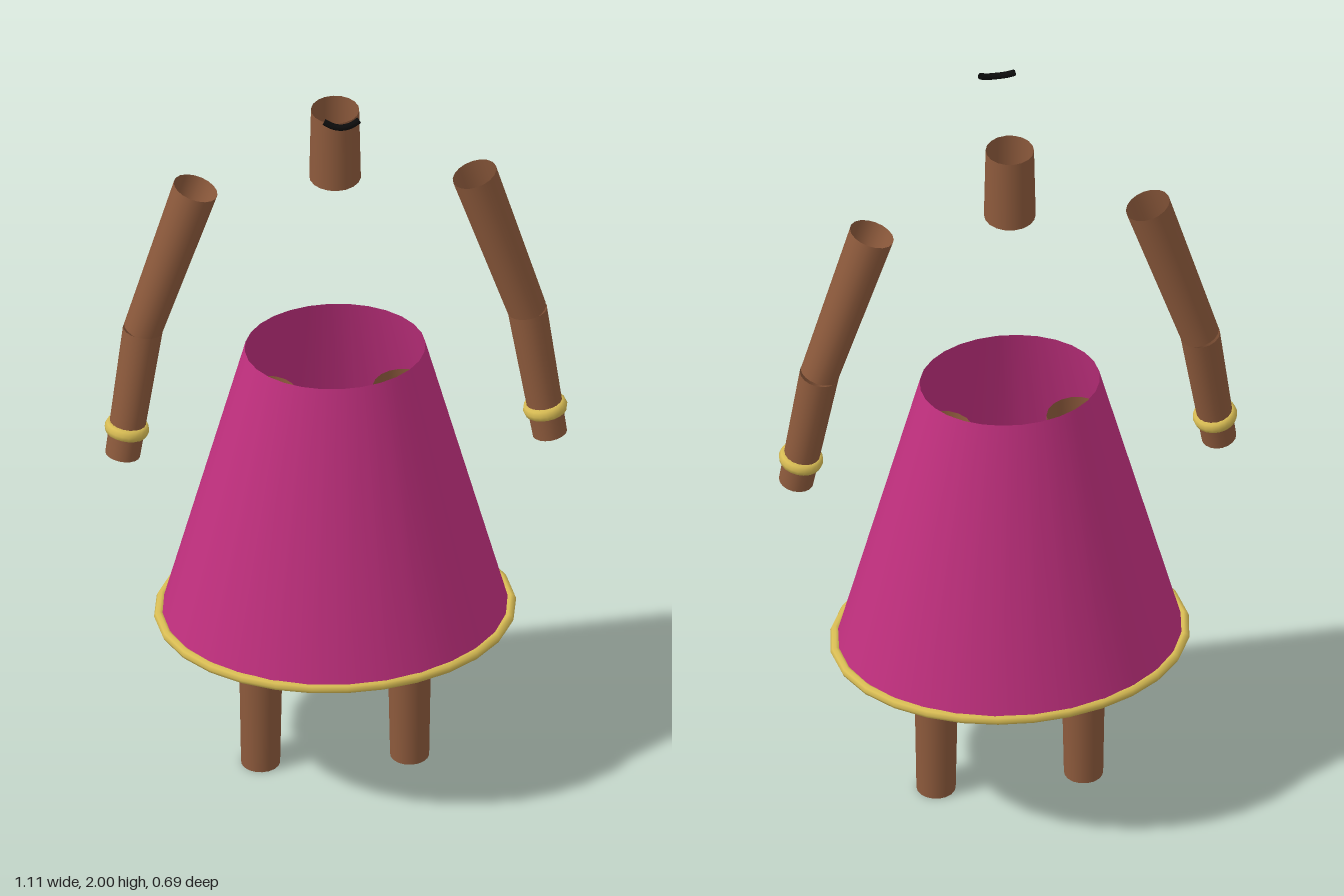
import * as THREE from 'three';

const mat = (name, color) => {
  const m = new THREE.MeshStandardMaterial({ color, side: THREE.DoubleSide });
  m.name = name;
  return m;
};

export function createModel() {
  const skin = mat('brown skin', 0x8d5a3c);
  const cloth = mat('magenta cloth', 0xc2307f);
  const gold = mat('gold trim', 0xd8bc54);
  const black = mat('black', 0x0c0c0c);
  const model = new THREE.Group();

  const add = (name, geometry, material) => {
    const mesh = new THREE.Mesh(geometry, material);
    mesh.name = name;
    model.add(mesh);
    return mesh;
  };

  const up = new THREE.Vector3(0, 1, 0);
  // Open tapered tube running from a (top) to b (bottom)
  const limb = (name, a, b, rTop, rBottom) => {
    const top = new THREE.Vector3(...a), bottom = new THREE.Vector3(...b);
    const axis = top.clone().sub(bottom);
    const mesh = add(name, new THREE.CylinderGeometry(rTop, rBottom, axis.length(), 18, 1, true), skin);
    mesh.position.copy(top).add(bottom).multiplyScalar(0.5);
    mesh.quaternion.setFromUnitVectors(up, axis.normalize());
    return mesh;
  };

  // Neck
  limb('neck', [0, 1.9, 0], [0, 1.705, 0], 0.058, 0.062);

  // Skirt: open oval cone with a gold hem
  const skirt = new THREE.CylinderGeometry(0.217, 0.417, 0.765, 28, 1, true);
  skirt.scale(1, 0.815, 1).scale(1, 1 / 0.815, 0.815);
  add('skirt', skirt, cloth).position.y = 0.8225;
  const hemPoints = [];
  for (let i = 0; i < 28; i++) {
    const t = (i / 28) * Math.PI * 2;
    hemPoints.push(new THREE.Vector3(0.422 * Math.cos(t), 0.44, 0.334 * Math.sin(t)));
  }
  const hemCurve = new THREE.CatmullRomCurve3(hemPoints, true);
  add('skirtHem', new THREE.TubeGeometry(hemCurve, 28, 0.013, 8, true), gold);

  // Arms, bracelets and legs, mirrored
  for (const [side, s] of [['left', 1], ['right', -1]]) {
    const elbow = [s * 0.462, 1.285, 0], wrist = [s * 0.513, 0.945, 0.032];
    limb(side + 'UpperArm', [s * 0.335, 1.69, 0], elbow, 0.055, 0.047);
    const forearm = limb(side + 'Forearm', elbow, wrist, 0.048, 0.042);

    const bracelet = add(side + 'Bracelet',
      new THREE.TorusGeometry(0.042, 0.012, 8, 20).rotateX(Math.PI / 2).scale(1, 1.4, 1), gold);
    bracelet.position.set(...elbow).lerp(new THREE.Vector3(...wrist), 0.79);
    bracelet.quaternion.copy(forearm.quaternion);

    limb(side + 'Thigh', [s * 0.16, 1.08, 0], [s * 0.178, 0.51, 0], 0.07, 0.061);
    limb(side + 'Shin', [s * 0.178, 0.52, 0], [s * 0.179, 0, 0], 0.056, 0.047);
  }

  // Smile
  const smile = new THREE.CatmullRomCurve3([
    [-0.042, 1.993, 0.179], [-0.022, 1.984, 0.186], [0, 1.981, 0.189],
    [0.022, 1.984, 0.186], [0.042, 1.993, 0.179],
  ].map((p) => new THREE.Vector3(...p)));
  add('smile', new THREE.TubeGeometry(smile, 10, 0.008, 8, false), black);

  return model;
}
